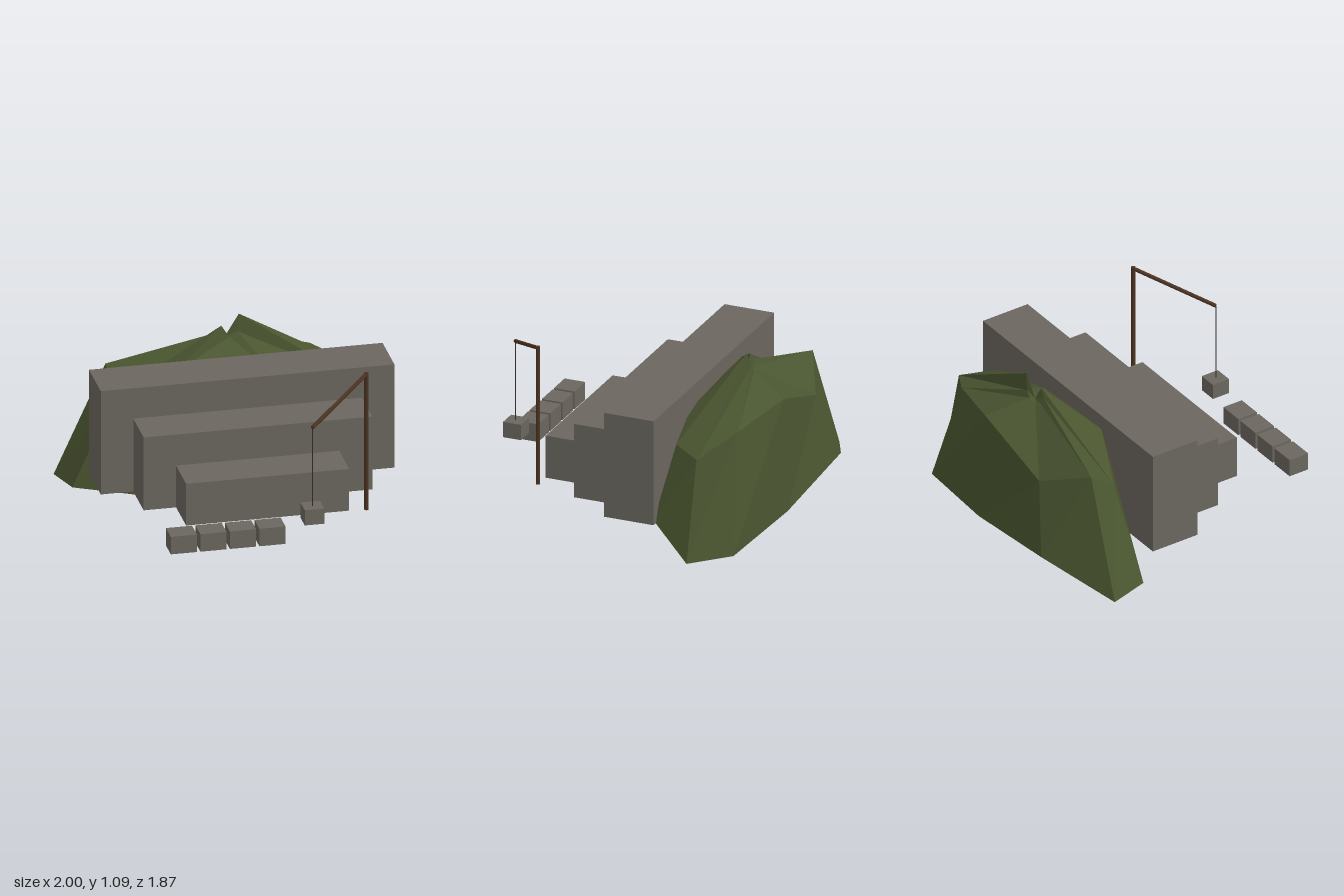
import * as THREE from 'three';

const material = (name, color, extra = {}) => {
  const m = new THREE.MeshStandardMaterial({ color, ...extra });
  m.name = name;
  return m;
};

export function createModel() {
  const group = new THREE.Group();
  const stone = material('stone', 0x6b675f);
  const grass = material('grass', 0x4a5530, { flatShading: true });
  const wood = material('wood', 0x4c3222);
  const ropeFibre = material('rope fibre', 0x3a3028);

  const add = (name, geometry, mat) => {
    const mesh = new THREE.Mesh(geometry, mat);
    mesh.name = name;
    group.add(mesh);
    return mesh;
  };
  // box given by its lower and upper bounds on each axis
  const block = (name, [x0, x1], [y0, y1], [z0, z1]) =>
    add(name, new THREE.BoxGeometry(x1 - x0, y1 - y0, z1 - z0), stone)
      .position.set((x0 + x1) / 2, (y0 + y1) / 2, (z0 + z1) / 2);
  // round bar between two points
  const bar = (name, from, to, radius, sides, mat) => {
    const a = new THREE.Vector3(...from), b = new THREE.Vector3(...to);
    const dir = b.clone().sub(a);
    const mesh = add(name, new THREE.CylinderGeometry(radius, radius, dir.length(), sides), mat);
    mesh.position.copy(a).add(b).multiplyScalar(0.5);
    mesh.quaternion.setFromUnitVectors(new THREE.Vector3(0, 1, 0), dir.normalize());
  };

  // stepped stone terraces
  const ground = 0.19;
  block('upperTerrace', [-0.865, 0.945], [ground, 0.87], [-0.35, -0.025]);
  block('middleTerrace', [-0.665, 0.745], [ground, 0.67], [-0.025, 0.26]);
  block('lowerTerrace', [-0.465, 0.54], [ground, 0.465], [0.26, 0.535]);

  // row of cut blocks waiting in front
  for (let i = 0; i < 4; i++) {
    const x = -0.648 + i * 0.182;
    block('cutBlock', [x, x + 0.161], [ground, 0.305], [0.795, 0.93]);
  }

  // crane with a hanging block
  bar('cranePost', [0.645, ground, 0.54], [0.645, 1.09, 0.54], 0.014, 8, wood);
  bar('craneBoom', [0.645, 1.08, 0.54], [0.24, 0.91, 0.865], 0.012, 8, wood);
  bar('hoistRope', [0.24, 0.91, 0.865], [0.24, 0.395, 0.865], 0.003, 6, ropeFibre);
  block('hoistedBlock', [0.18, 0.30], [0.295, 0.395], [0.803, 0.92]);

  // craggy hill: foot, shoulder and summit rings, from +x round the front
  const rings = [
    [[1, 0, -0.59], [0.9, 0.2, -0.33], [0.2, 0.21, -0.27], [-0.43, 0.005, -0.305], [-0.94, 0.05, -0.47],
      [-1, 0.035, -0.72], [-0.53, 0.185, -0.935], [0.19, 0.08, -0.9], [0.81, 0.015, -0.815]],
    [[0.85, 0.62, -0.59], [0.74, 0.65, -0.41], [0.3, 0.72, -0.32], [-0.34, 0.79, -0.365], [-0.67, 0.62, -0.5],
      [-0.69, 0.75, -0.68], [-0.37, 0.61, -0.84], [0.17, 0.8, -0.865], [0.59, 0.73, -0.75]],
    [[0.115, 1.035, -0.6], [0.1, 0.93, -0.58], [0.05, 0.9, -0.57], [0, 0.98, -0.57], [-0.04, 0.93, -0.58],
      [-0.05, 0.89, -0.6], [0, 0.88, -0.615], [0.05, 0.9, -0.62], [0.09, 0.93, -0.615]],
  ];
  const points = [];
  const tri = (...corners) => corners.forEach((c) => points.push(...c));
  const n = rings[0].length;
  for (let i = 0; i < n; i++) {
    const j = (i + 1) % n;
    for (let r = 0; r < 2; r++) {
      const low = rings[r], high = rings[r + 1];
      tri(low[i], high[i], low[j]);
      tri(low[j], high[i], high[j]);
    }
    tri([0.03, 0.9, -0.595], rings[2][j], rings[2][i]);
    tri([0.03, 0.08, -0.6], rings[0][i], rings[0][j]);
  }
  const hill = new THREE.BufferGeometry();
  hill.setAttribute('position', new THREE.Float32BufferAttribute(points, 3));
  hill.computeVertexNormals();
  add('hill', hill, grass);

  return group;
}
